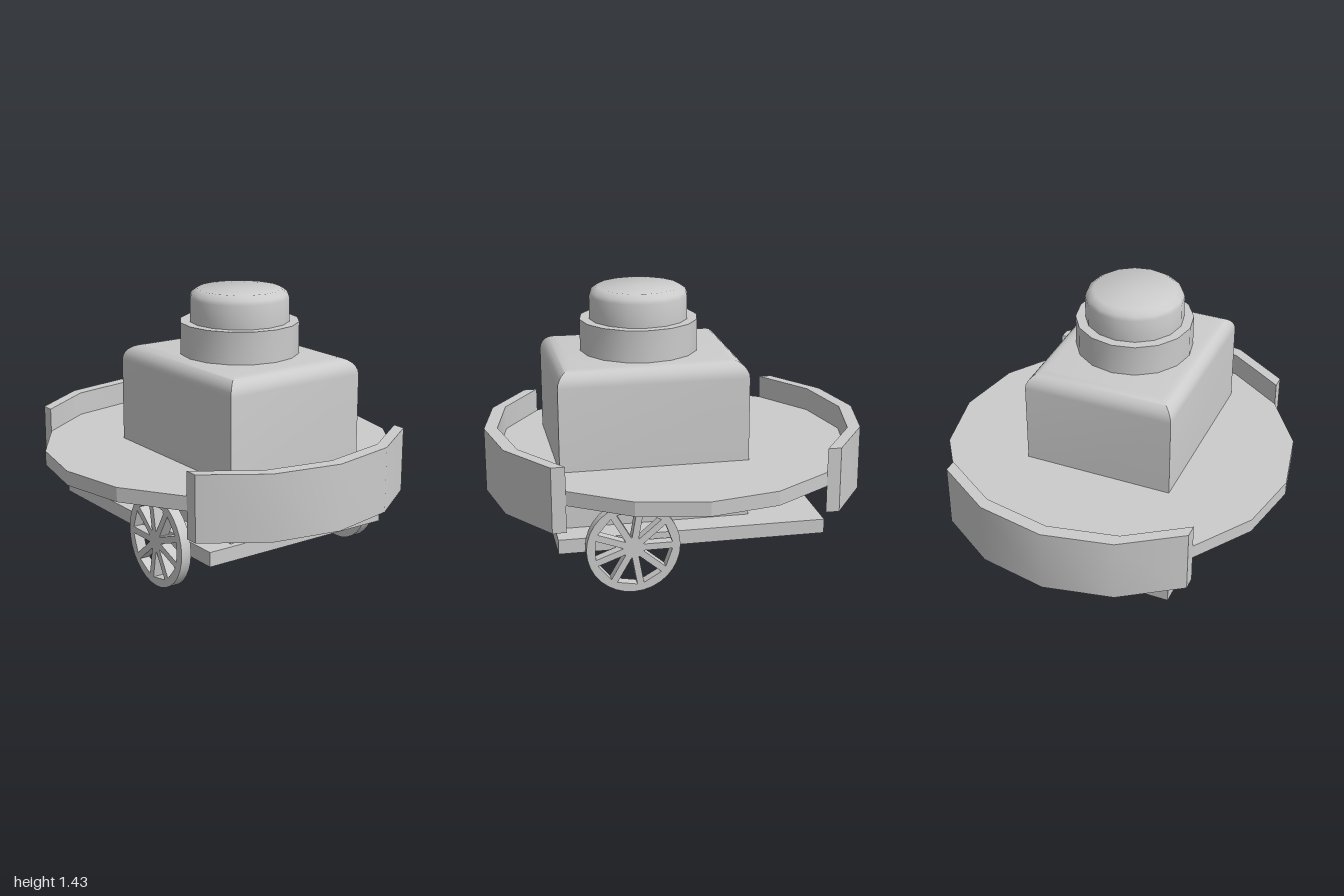
import * as THREE from 'three';
import { toCreasedNormals } from 'three/addons/utils/BufferGeometryUtils.js';

const material = new THREE.MeshStandardMaterial({ color: 0xcccccc });

function add(group, name, geometry, x = 0, y = 0, z = 0, crease = 0.6) {
  const mesh = new THREE.Mesh(toCreasedNormals(geometry, crease), material);
  mesh.name = name;
  mesh.position.set(x, y, z);
  group.add(mesh);
  return mesh;
}

// Box with sharp upright corners and a rounded top, from stacked rectangles
function roundedTopBlock(w, h, d, r, steps = 6) {
  const rings = [[0, 0]];
  for (let i = 0; i <= steps; i++) {
    const a = (i / steps) * Math.PI / 2;
    rings.push([r * (1 - Math.cos(a)), h - r + r * Math.sin(a)]);
  }
  const pos = [], index = [];
  for (const [inset, y] of rings) {
    const x = w / 2 - inset, z = d / 2 - inset;
    pos.push(-x, y, z, x, y, z, x, y, -z, -x, y, -z);
  }
  for (let i = 0; i < rings.length - 1; i++) {
    for (let j = 0; j < 4; j++) {
      const a = i * 4 + j, b = i * 4 + (j + 1) % 4;
      index.push(a, b, b + 4, a, b + 4, a + 4);
    }
  }
  const t = (rings.length - 1) * 4;
  index.push(t, t + 1, t + 2, t, t + 2, t + 3, 0, 2, 1, 0, 3, 2);
  const g = new THREE.BufferGeometry();
  g.setAttribute('position', new THREE.Float32BufferAttribute(pos, 3));
  g.setIndex(index);
  return g;
}

// Spoked wheel: a disc with wedge-shaped openings between straight spokes
function wheelGeometry(radius, thickness, count) {
  const shape = new THREE.Shape().absarc(0, 0, radius, 0, Math.PI * 2);
  const inner = 0.055, outer = 0.198, half = 0.017;
  for (let i = 0; i < count; i++) {
    const mid = (i / count) * Math.PI * 2, span = Math.PI / count;
    const ri = span - Math.asin(half / inner), ro = span - Math.asin(half / outer);
    const corner = (r, a) => new THREE.Vector2(r * Math.cos(mid + a), r * Math.sin(mid + a));
    shape.holes.push(new THREE.Path([
      corner(inner, -Math.max(ri, 0.03)), corner(outer, -ro),
      corner(outer, ro), corner(inner, Math.max(ri, 0.03)),
    ]));
  }
  const g = new THREE.ExtrudeGeometry(shape, { depth: thickness, bevelEnabled: false, curveSegments: 16 });
  return g.translate(0, 0, -thickness / 2);
}

// Curved bumper following the disc edge, thickened along x
function bumperGeometry(radius, thickness, height, side) {
  const edge = [-2, -1, 0, 1, 2].map((i) => {
    const a = i * Math.PI / 8;
    return new THREE.Vector2(side * radius * Math.cos(a), radius * Math.sin(a));
  });
  const outside = edge.map((p) => new THREE.Vector2(p.x + side * thickness, p.y)).reverse();
  const shape = new THREE.Shape([...edge, ...outside]);
  const g = new THREE.ExtrudeGeometry(shape, { depth: height, bevelEnabled: false });
  return g.rotateX(-Math.PI / 2);
}

export function createModel() {
  const model = new THREE.Group();
  model.name = 'bumperCart';

  // Base board and tall body
  add(model, 'baseBoard', new THREE.BoxGeometry(1.375, 0.075, 1.09), 0, 0.2425, 0);
  add(model, 'body', roundedTopBlock(0.975, 0.82, 0.8, 0.085), 0.168, 0.28, 0);

  // Wide sixteen-sided deck with a bumper at each end
  add(model, 'deck', new THREE.CylinderGeometry(0.929, 0.929, 0.075, 16), 0, 0.5425, 0, 0.3);
  for (const side of [1, -1]) {
    add(model, side > 0 ? 'leftBumper' : 'rightBumper', bumperGeometry(0.93, 0.07, 0.34, side), 0, 0.365, 0);
  }

  // Collar and domed cap on the body
  add(model, 'collar', new THREE.CylinderGeometry(0.308, 0.308, 0.165, 16), 0.18, 1.1825, 0);
  const capProfile = [[0, 0], [0.257, 0], [0.257, 0.12], [0.25, 0.142], [0.217, 0.165], [0, 0.165]]
    .map(([x, y]) => new THREE.Vector2(x, y));
  add(model, 'cap', new THREE.LatheGeometry(capProfile, 16), 0.18, 1.265, 0, 0.9);

  // Pair of spoked wheels
  for (const side of [1, -1]) {
    add(model, side > 0 ? 'frontWheel' : 'backWheel', wheelGeometry(0.237, 0.055, 9), 0.322, 0.24, side * 0.595);
  }

  // Ball caster in a tapered socket
  add(model, 'casterSocket', new THREE.CylinderGeometry(0.185, 0.097, 0.14, 8), -0.468, 0.135, 0, 0.9);
  add(model, 'casterBall', new THREE.SphereGeometry(0.067, 20, 14), -0.468, 0.07, 0);

  return model;
}
